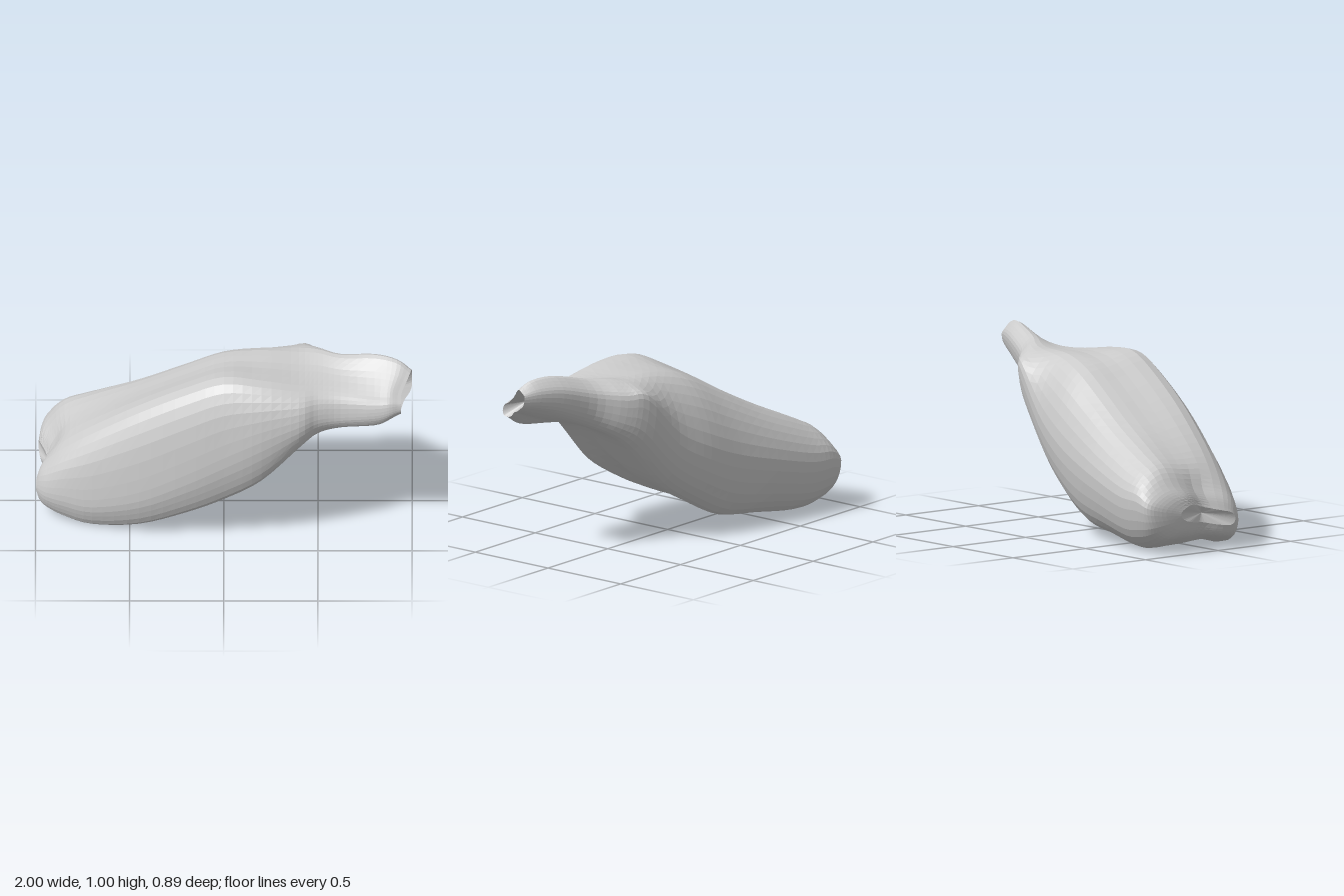
import * as THREE from 'three';

// Stations along the body: x, then front lobe (z, mid y, top y, bottom y)
// and rear lobe (z, mid y, top y, bottom y).
const stations = [
  [-1.0, 0.12, 0.17, 0.21, 0.13, -0.24, 0.22, 0.26, 0.17],
  [-0.98, 0.15, 0.17, 0.27, 0.08, -0.36, 0.24, 0.31, 0.12],
  [-0.94, 0.185, 0.17, 0.32, 0.05, -0.43, 0.26, 0.36, 0.08],
  [-0.85, 0.23, 0.18, 0.41, 0.02, -0.445, 0.29, 0.45, 0.04],
  [-0.7, 0.285, 0.19, 0.53, 0.0, -0.435, 0.3, 0.52, 0.02],
  [-0.45, 0.35, 0.28, 0.7, 0.04, -0.395, 0.36, 0.63, 0.05],
  [-0.2, 0.395, 0.42, 0.84, 0.14, -0.345, 0.43, 0.76, 0.08],
  [0.0, 0.42, 0.54, 0.925, 0.24, -0.305, 0.51, 0.86, 0.18],
  [0.2, 0.44, 0.65, 0.92, 0.37, -0.25, 0.62, 0.91, 0.32],
  [0.4, 0.425, 0.73, 0.89, 0.57, -0.205, 0.83, 0.925, 0.54],
  [0.5, 0.38, 0.75, 0.88, 0.64, -0.14, 0.84, 0.94, 0.63],
  [0.62, 0.36, 0.75, 0.87, 0.67, -0.03, 0.86, 0.955, 0.7],
  [0.8, 0.375, 0.77, 0.86, 0.695, 0.05, 0.91, 0.995, 0.78],
  [0.92, 0.375, 0.79, 0.86, 0.735, 0.11, 0.92, 0.99, 0.82],
  [1.0, 0.36, 0.8, 0.845, 0.765, 0.16, 0.91, 0.945, 0.84],
];

const mix = THREE.MathUtils.lerp;
const step = THREE.MathUtils.smoothstep;

// Two-lobed section: rear side, top, front side, then the shallow underside
function section([x, zF, yF, tF, bF, zR, yR, tR, bR]) {
  const w = zF - zR;
  return [
    [0, yR],
    [0.08, mix(yR, tR, 0.6)],
    [0.25, tR],
    [0.5, mix(tR, tF, 0.5)],
    [0.8, tF],
    [0.94, mix(yF, tF, 0.65)],
    [1, yF],
    [0.99, mix(yF, bF, 0.6)],
    [0.92, bF],
    [0.72, mix(bF, yF, 0.15)],
    [0.52, mix(bR, bF, 0.5) + 0.03 * (yR - bR)],
    [0.36, mix(bR, bF, 0.3)],
    [0.18, bR],
    [0.05, mix(yR, bR, 0.65)],
  ].map(([f, y]) => new THREE.Vector3(x, y, zR + f * w));
}

function bodyGeometry(rings = 56, sides = 44) {
  const keys = stations.map(section);
  const rails = keys[0].map((_, i) =>
    new THREE.CatmullRomCurve3(keys.map((k) => k[i]), false, 'catmullrom', 0.5));
  const positions = [];
  const index = [];
  for (let r = 0; r <= rings; r++) {
    const loop = new THREE.CatmullRomCurve3(
      rails.map((c) => c.getPoint(r / rings)), true, 'catmullrom', 0.5);
    for (let s = 0; s < sides; s++) {
      const p = loop.getPoint(s / sides);
      // The front prong of the narrow end is shorter than the rear one
      p.x -= step(p.x, 0.8, 1) * 0.06 * step(p.z, 0.18, 0.32);
      // The wide end is notched between its lobes, the rear lobe slightly shorter
      const notch = 0.055 * Math.exp(-(((p.z + 0.05) / 0.09) ** 2));
      p.x += step(-p.x, 0.8, 1) * (notch + 0.015 * step(-p.z, 0, 0.15));
      positions.push(p.x, Math.max(0, p.y), p.z);
      if (r === rings) continue;
      const a = r * sides + s;
      const b = r * sides + (s + 1) % sides;
      index.push(a, b, a + sides, b, b + sides, a + sides);
    }
  }
  // Hollow caps at both ends
  const wide = positions.length / 3;
  positions.push(-0.92, 0.2, -0.05, 0.87, 0.85, 0.25);
  const last = rings * sides;
  for (let s = 0; s < sides; s++) {
    const n = (s + 1) % sides;
    index.push(wide, n, s, wide + 1, last + s, last + n);
  }
  const geometry = new THREE.BufferGeometry();
  geometry.setAttribute('position', new THREE.Float32BufferAttribute(positions, 3));
  geometry.setIndex(index);
  geometry.computeVertexNormals();
  return geometry;
}

export function createModel() {
  const group = new THREE.Group();
  group.name = 'organicForm';
  const body = new THREE.Mesh(
    bodyGeometry(),
    new THREE.MeshStandardMaterial({ color: 0xcccccc, flatShading: true, side: THREE.DoubleSide }));
  body.name = 'body';
  group.add(body);
  return group;
}
